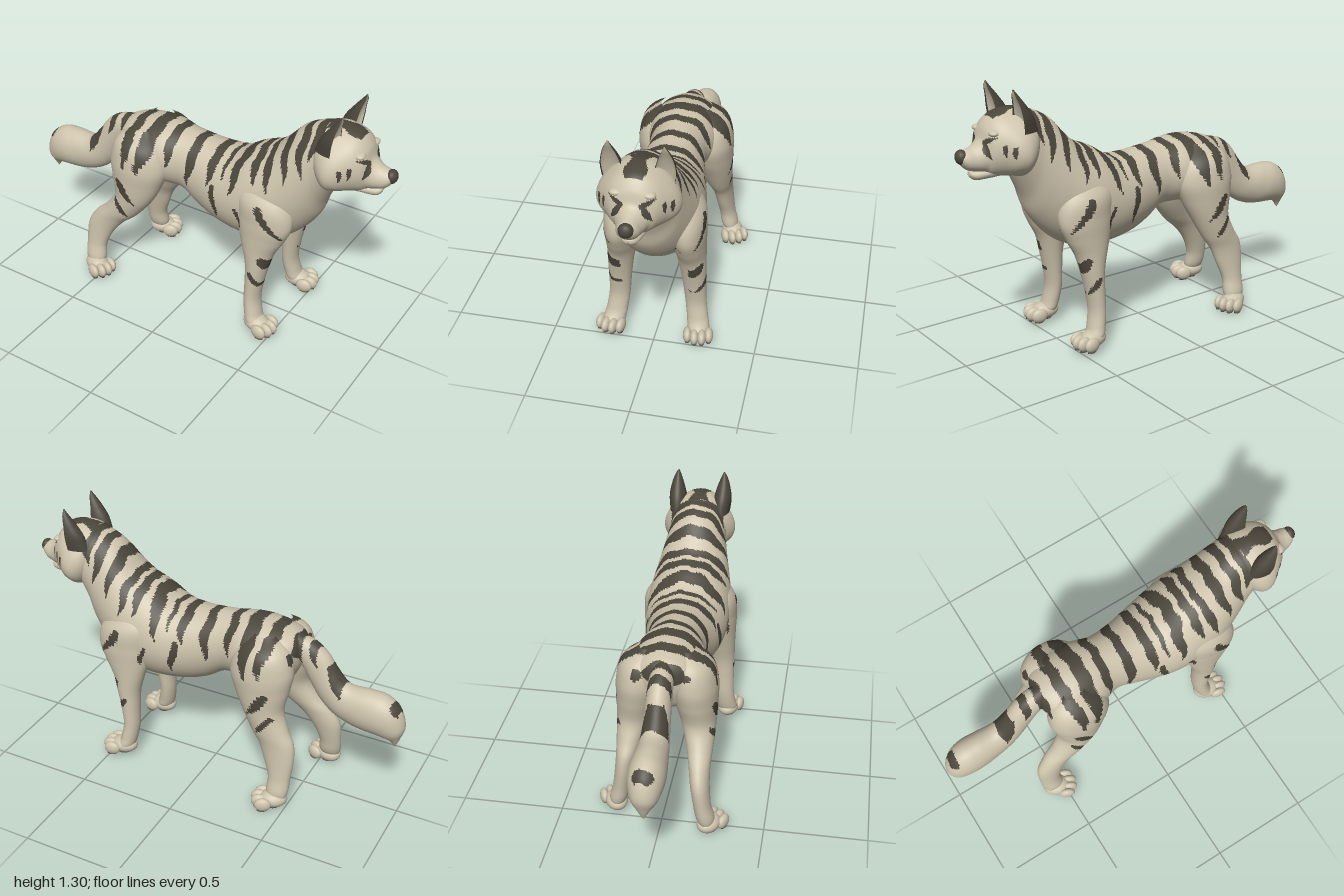
import * as THREE from 'three';

const fur = new THREE.MeshStandardMaterial({ color: 0xcdc3ac });
fur.name = 'pale fur';
const dark = new THREE.MeshStandardMaterial({ color: 0x4b463b });
dark.name = 'dark stripe';

// Stripes seen from the side: x, y at the top, x, y at the bottom, half width
const STRIPES = [
  [-0.35, 0.93, -0.33, 0.70, 0.03], [-0.23, 0.95, -0.26, 0.68, 0.038], [-0.125, 0.94, -0.14, 0.73, 0.024],
  [0.0, 0.92, -0.02, 0.66, 0.026], [0.125, 0.91, 0.105, 0.73, 0.025], [0.2, 0.92, 0.18, 0.78, 0.012],
  [0.28, 0.97, 0.24, 0.73, 0.025], [0.34, 1.01, 0.375, 0.83, 0.024], [0.405, 1.03, 0.45, 0.82, 0.022],
  [0.49, 1.11, 0.525, 0.89, 0.023], [0.565, 1.18, 0.60, 0.94, 0.024], [0.645, 1.22, 0.635, 1.03, 0.024],
  [0.14, 0.75, 0.165, 0.57, 0.018], [0.295, 0.69, 0.32, 0.58, 0.012], [0.42, 0.76, 0.54, 0.59, 0.02],
  [-0.39, 0.63, -0.27, 0.49, 0.022], [-0.41, 0.50, -0.33, 0.40, 0.017],
  [0.44, 0.47, 0.49, 0.38, 0.02], [0.40, 0.37, 0.44, 0.28, 0.015],
  [-0.44, 0.90, -0.485, 0.74, 0.02], [-0.52, 0.88, -0.56, 0.74, 0.02], [-0.63, 0.76, -0.69, 0.60, 0.035],
  [-0.95, 0.64, -0.97, 0.575, 0.02],
];
// Face markings seen from ahead, in |z| and y
const FACE = [
  [0.035, 1.062, 0.105, 1.092, 0.011], [0.05, 1.06, 0.09, 0.99, 0.012],
  [0.13, 1.06, 0.135, 1.0, 0.007], [0.16, 1.05, 0.16, 0.99, 0.007],
];

// True inside a tapering stroke
function inStroke([x0, y0, x1, y1, w], x, y) {
  const dx = x1 - x0, dy = y1 - y0, len = Math.hypot(dx, dy);
  const t = ((x - x0) * dx + (y - y0) * dy) / (len * len);
  if (t < 0 || t > 1) return false;
  const off = Math.abs((x - x0) * dy - (y - y0) * dx) / len;
  return off < w * Math.sin(Math.PI * (0.25 + 0.75 * t));
}

const coat = (p) => {
  if (p.y < 0.56 && p.x > -0.7 && Math.abs(p.z) < 0.165) return false;
  const x = p.x + 0.006 * Math.sin(38 * p.y) + 0.004 * Math.sin(60 * p.z);
  return STRIPES.some((s) => inStroke(s, x, p.y));
};
const facePaint = (p) => {
  const z = Math.abs(p.z);
  if (p.x > 0.66 && p.x < 0.83 && p.y > 1.12 && z < 0.042 + 0.01 * Math.sin(p.x * 50)) return true;
  if (p.x > 0.72) return FACE.some((s) => inStroke(s, z, p.y));
  return coat(p);
};

// Lofts a skin through sections: [x, y of one edge, x, y of the opposite edge, z, half width, skew]
function loft(name, sections, rings, sides, paint, hollow = false) {
  const curve = (f) => new THREE.CatmullRomCurve3(sections.map(f), false, 'catmullrom', 0.5);
  const edgeA = curve((s) => new THREE.Vector3(s[0], s[1], s[4]));
  const edgeB = curve((s) => new THREE.Vector3(s[2], s[3], s[4]));
  const size = curve((s) => new THREE.Vector3(s[5], s[6] || 0, 0));
  const pts = [];
  for (let i = 0; i <= rings; i++) {
    const t = i / rings, a = edgeA.getPoint(t), b = edgeB.getPoint(t), s = size.getPoint(t);
    const mid = a.clone().add(b).multiplyScalar(0.5), up = a.clone().sub(mid);
    for (let j = 0; j < sides; j++) {
      const q = (j / sides) * Math.PI * 2;
      let c = Math.cos(q);
      const w = Math.max(s.x, 0.001) * Math.sin(q) * (1 + s.y * c);
      if (hollow && c < 0) c *= -0.35;
      const p = mid.clone().addScaledVector(up, c);
      p.z += w;
      pts.push(p);
    }
  }
  const faces = [[], []];
  const add = (i, j, k, col) => {
    const m = pts[i].clone().add(pts[j]).add(pts[k]).divideScalar(3);
    faces[paint(m, col / sides) ? 1 : 0].push(i, j, k);
  };
  for (let i = 0; i < rings; i++) for (let j = 0; j < sides; j++) {
    const n = (j + 1) % sides, a = i * sides + j, b = i * sides + n;
    add(a, b, a + sides, j);
    add(b, b + sides, a + sides, j);
  }
  const g = new THREE.BufferGeometry().setFromPoints(pts);
  g.setIndex([...faces[0], ...faces[1]]);
  g.addGroup(0, faces[0].length, 0);
  g.addGroup(faces[0].length, faces[1].length, 1);
  g.computeVertexNormals();
  const mesh = new THREE.Mesh(g, [fur, dark]);
  mesh.name = name;
  return mesh;
}

function blob(name, mat, x, y, z, rx, ry, rz) {
  const m = new THREE.Mesh(new THREE.SphereGeometry(1, 20, 14), mat);
  m.name = name;
  m.position.set(x, y, z);
  m.scale.set(rx, ry, rz);
  return m;
}

// Paw with four toes and dark pads, toes toward +x
function paw(name, x, y, z, turn) {
  const g = new THREE.Group();
  g.name = name;
  g.add(blob('pawBase', fur, -0.015, 0.045, 0, 0.07, 0.043, 0.055));
  [-0.052, -0.018, 0.018, 0.052].forEach((dz) => {
    const dx = 0.062 - Math.abs(dz) * 0.5;
    g.add(blob('toe', fur, dx, 0.038, dz, 0.042, 0.036, 0.022));
    g.add(blob('toePad', dark, dx + 0.004, 0.005, dz, 0.025, 0.004, 0.014));
  });
  g.add(blob('heelPad', dark, -0.012, 0.004, 0, 0.035, 0.004, 0.034));
  g.position.set(x, y, z);
  g.rotation.y = turn;
  return g;
}

const TORSO = [
  [-0.475, 0.80, -0.475, 0.76, 0, 0.01], [-0.45, 0.86, -0.45, 0.68, 0, 0.10], [-0.40, 0.888, -0.40, 0.60, 0, 0.16],
  [-0.30, 0.91, -0.30, 0.57, 0, 0.18], [-0.20, 0.912, -0.18, 0.58, 0, 0.17], [-0.10, 0.90, -0.08, 0.572, 0, 0.142],
  [0.0, 0.888, 0.02, 0.51, 0, 0.155], [0.10, 0.88, 0.12, 0.475, 0, 0.18], [0.20, 0.89, 0.24, 0.46, 0, 0.205],
  [0.30, 0.95, 0.36, 0.46, 0, 0.215], [0.40, 0.995, 0.47, 0.50, 0, 0.21], [0.47, 1.06, 0.56, 0.57, 0, 0.19],
  [0.53, 1.125, 0.635, 0.67, 0, 0.168], [0.60, 1.165, 0.67, 0.77, 0, 0.152], [0.66, 1.18, 0.72, 0.88, 0, 0.14],
  [0.72, 1.16, 0.75, 0.95, 0, 0.09], [0.74, 1.08, 0.745, 1.05, 0, 0.01],
];
const HEAD = [
  [0.59, 1.09, 0.62, 1.0, 0, 0.03], [0.635, 1.17, 0.66, 0.92, 0, 0.135, -0.1], [0.70, 1.195, 0.71, 0.88, 0, 0.18, -0.2],
  [0.76, 1.195, 0.76, 0.89, 0, 0.176, -0.25], [0.82, 1.175, 0.81, 0.893, 0, 0.14, -0.1], [0.862, 1.128, 0.85, 0.90, 0, 0.105],
  [0.884, 1.07, 0.875, 0.915, 0, 0.076], [0.92, 1.045, 0.91, 0.928, 0, 0.058, -0.15], [0.96, 1.032, 0.948, 0.94, 0, 0.047, -0.1],
  [0.985, 1.02, 0.975, 0.965, 0, 0.03], [0.988, 1.0, 0.988, 0.99, 0, 0.003],
];
const JAW = [
  [0.74, 0.96, 0.74, 0.91, 0, 0.05], [0.80, 0.96, 0.80, 0.893, 0, 0.07], [0.86, 0.95, 0.86, 0.888, 0, 0.055],
  [0.91, 0.938, 0.91, 0.888, 0, 0.038], [0.935, 0.93, 0.93, 0.90, 0, 0.022], [0.938, 0.918, 0.938, 0.912, 0, 0.003],
];
const TAIL = [
  [-0.958, 0.385, -0.953, 0.387, 0, 0.004], [-0.98, 0.44, -0.93, 0.42, 0, 0.03], [-0.997, 0.51, -0.89, 0.435, 0, 0.06],
  [-0.965, 0.60, -0.84, 0.44, 0, 0.08], [-0.90, 0.65, -0.79, 0.443, 0, 0.086], [-0.82, 0.66, -0.72, 0.455, 0, 0.08],
  [-0.71, 0.66, -0.64, 0.49, 0, 0.07], [-0.645, 0.725, -0.57, 0.55, 0, 0.063], [-0.59, 0.80, -0.51, 0.64, 0, 0.06],
  [-0.52, 0.85, -0.46, 0.72, 0, 0.058], [-0.43, 0.875, -0.38, 0.76, 0, 0.05],
];
// Limbs run downward: front edge first, then back edge
const FORELEG = [
  [0.48, 0.88, 0.34, 0.88, 0.11, 0.03], [0.555, 0.75, 0.28, 0.78, 0.145, 0.085], [0.57, 0.65, 0.285, 0.66, 0.16, 0.082],
  [0.535, 0.56, 0.30, 0.57, 0.165, 0.076], [0.492, 0.48, 0.32, 0.50, 0.17, 0.07], [0.468, 0.40, 0.345, 0.40, 0.178, 0.062],
  [0.445, 0.30, 0.35, 0.30, 0.184, 0.056], [0.432, 0.20, 0.35, 0.20, 0.19, 0.052], [0.445, 0.12, 0.36, 0.12, 0.20, 0.052],
  [0.46, 0.07, 0.375, 0.07, 0.208, 0.05], [0.44, 0.028, 0.40, 0.028, 0.21, 0.01],
];
const HINDLEG = [
  [-0.26, 0.88, -0.36, 0.88, 0.10, 0.03], [-0.18, 0.80, -0.44, 0.82, 0.115, 0.10], [-0.15, 0.70, -0.47, 0.72, 0.128, 0.115],
  [-0.18, 0.60, -0.458, 0.62, 0.14, 0.104], [-0.23, 0.50, -0.44, 0.51, 0.155, 0.085], [-0.31, 0.40, -0.49, 0.42, 0.17, 0.066],
  [-0.39, 0.33, -0.56, 0.35, 0.18, 0.052], [-0.455, 0.25, -0.605, 0.27, 0.19, 0.046], [-0.495, 0.16, -0.61, 0.16, 0.205, 0.042],
  [-0.495, 0.08, -0.605, 0.08, 0.222, 0.043], [-0.52, 0.015, -0.58, 0.015, 0.235, 0.01],
];
const EAR = [
  [0.645, 1.10, 0.83, 1.10, 0.112, 0.046], [0.672, 1.17, 0.82, 1.16, 0.118, 0.046], [0.71, 1.225, 0.80, 1.22, 0.121, 0.034],
  [0.745, 1.27, 0.79, 1.265, 0.122, 0.018], [0.768, 1.30, 0.774, 1.30, 0.12, 0.002],
];

export function createModel() {
  const model = new THREE.Group();
  model.name = 'stripedCanine';
  model.add(loft('torso', TORSO, 180, 96, coat));
  model.add(loft('head', HEAD, 110, 96, facePaint));
  model.add(loft('lowerJaw', JAW, 24, 24, () => false));
  model.add(loft('tail', TAIL, 90, 48, coat));
  model.add(blob('nose', dark, 0.972, 1.003, 0, 0.028, 0.034, 0.034));

  for (const side of [1, -1]) {
    const label = side > 0 ? 'left' : 'right';
    // The right hind leg stands further forward
    const step = (y) => (side > 0 ? 0 : 0.1 * (1 - THREE.MathUtils.smoothstep(y, 0.2, 0.5)));
    const place = (rows) => rows.map((s) => [s[0], s[1], s[2], s[3], s[4] * side, s[5], s[6] || 0]);
    const hind = place(HINDLEG).map((s) => [s[0] + step(s[1]), s[1], s[2] + step(s[3]), s[3], s[4], s[5], 0]);
    model.add(loft(label + 'FrontLeg', place(FORELEG), 100, 48, coat));
    model.add(loft(label + 'HindLeg', hind, 100, 48, coat));
    model.add(paw(label + 'FrontPaw', 0.445, 0.018, 0.213 * side, -0.15 * side));
    model.add(paw(label + 'HindPaw', -0.525 + step(0), 0, 0.242 * side, -0.4 * side));
    // Dark ear shell with a pale hollow facing ahead
    model.add(loft(label + 'Ear', place(EAR), 30, 40, (p, q) => !(q > 0.29 && q < 0.71), true));
    // Heavy brow over each eye
    const brow = blob(label + 'Brow', fur, 0.835, 1.105, 0.062 * side, 0.03, 0.017, 0.042);
    brow.rotation.y = 0.6 * side;
    model.add(brow);
  }
  return model;
}
